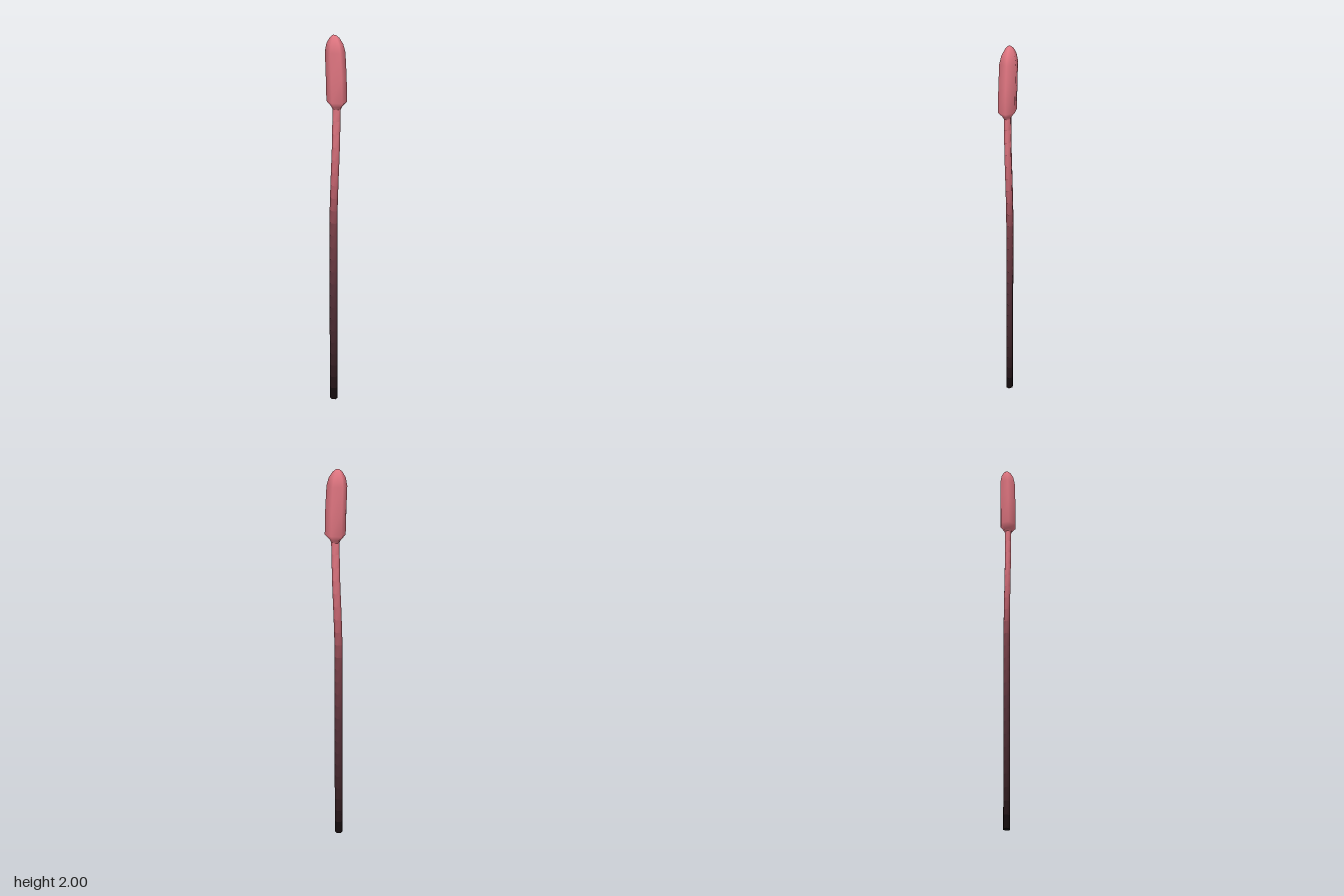
import * as THREE from 'three';

const SIDES = 6;
const X_STRETCH = 1.235; // hexagon is a little wider than deep

// Smooth hexagonal loft through rings [centreX, y, radius]; points face +z and -z.
function loft(rings, capBottom = false, capTop = false) {
  const pos = [], index = [];
  for (const [cx, y, r] of rings) {
    for (let i = 0; i < SIDES; i++) {
      const a = (i / SIDES) * Math.PI * 2;
      pos.push(cx + Math.sin(a) * r * X_STRETCH, y, Math.cos(a) * r);
    }
  }
  for (let k = 0; k < rings.length - 1; k++) {
    for (let i = 0; i < SIDES; i++) {
      const a = k * SIDES + i, b = k * SIDES + (i + 1) % SIDES;
      index.push(a, b, b + SIDES, a, b + SIDES, a + SIDES);
    }
  }
  const cap = (k, up) => {
    const o = k * SIDES;
    for (let i = 1; i < SIDES - 1; i++) {
      if (up) index.push(o, o + i, o + i + 1);
      else index.push(o, o + i + 1, o + i);
    }
  };
  if (capBottom) cap(0, false);
  if (capTop) cap(rings.length - 1, true);
  const geo = new THREE.BufferGeometry();
  geo.setAttribute('position', new THREE.Float32BufferAttribute(pos, 3));
  geo.setIndex(index);
  geo.computeVertexNormals();
  return geo;
}

// Linear lookup in a list of [key, value] stops.
function sample(stops, t, mix) {
  let i = 0;
  while (i < stops.length - 2 && t > stops[i + 1][0]) i++;
  const [t0, a] = stops[i], [t1, b] = stops[i + 1];
  return mix(a, b, THREE.MathUtils.clamp((t - t0) / (t1 - t0), 0, 1));
}

const lean = [[0, -0.018], [1.08, -0.017], [1.25, -0.011], [1.42, -0.003], [1.64, 0.002]];
const tint = [[0, 0x060607], [0.25, 0x3a2226], [0.65, 0x58323a], [1.0, 0x7e424a], [1.25, 0xc4646f], [1.5, 0xe07681]];
const stemX = y => sample(lean, y, THREE.MathUtils.lerp);
const stemColor = y => sample(tint, y, (a, b, t) => new THREE.Color(a).lerp(new THREE.Color(b), t));

function part(name, geometry, color) {
  const mesh = new THREE.Mesh(geometry, new THREE.MeshStandardMaterial({ color }));
  mesh.name = name;
  return mesh;
}

export function createModel() {
  const model = new THREE.Group();
  model.name = 'reed';

  // Stem in short bands, darkening toward the root
  const stem = new THREE.Group();
  stem.name = 'stem';
  const bands = 24, top = 1.64;
  for (let i = 0; i < bands; i++) {
    const y0 = (i / bands) * top, y1 = ((i + 1) / bands) * top;
    const rings = [[stemX(y0), y0, 0.0172], [stemX(y1), y1, 0.0172]];
    stem.add(part('stemBand' + (i + 1), loft(rings), stemColor((y0 + y1) / 2)));
  }
  const root = loft([[stemX(0), 0, 0.0172], [stemX(0), 0.001, 0.0172]], true);
  stem.add(part('stemBase', root, 0x060607));
  model.add(stem);

  // Seed head: flares from the stem, leans back slightly, rounds off at the tip
  const head = [
    [0.002, 1.632, 0.0172], [0.002, 1.645, 0.023], [0.0025, 1.672, 0.0435],
    [-0.001, 1.8, 0.0435], [-0.007, 1.92, 0.0425], [-0.009, 1.96, 0.0345],
    [-0.011, 1.988, 0.02], [-0.012, 2, 0.0075],
  ];
  model.add(part('seedHead', loft(head, false, true), 0xe07681));
  return model;
}
